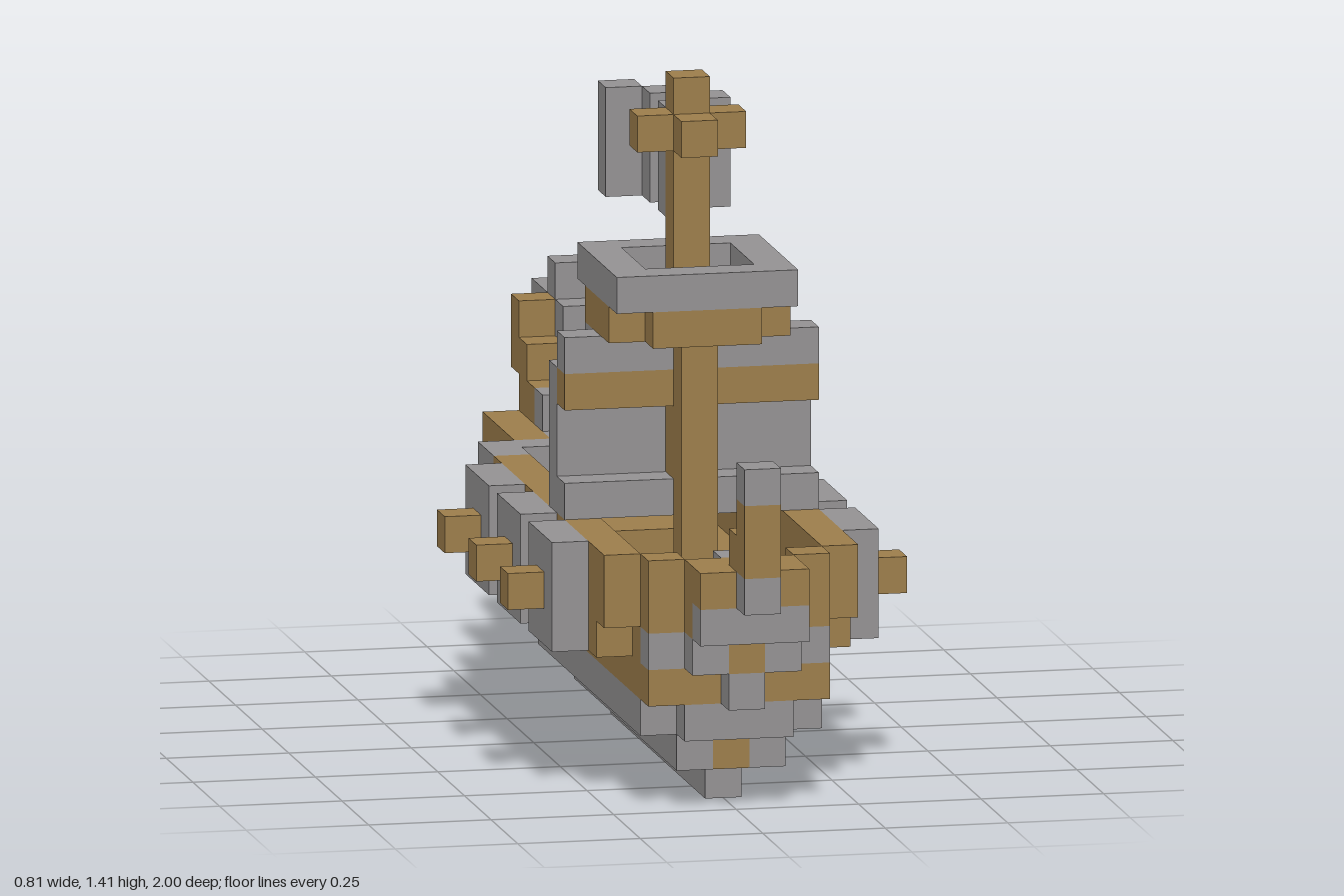
import * as THREE from 'three';

const U = 2 / 27; // edge of one block

export function createModel() {
  const model = new THREE.Group();
  model.name = 'blockShip';
  const wood = new THREE.MeshStandardMaterial({ name: 'brown wood', color: 0x9c7d4b });
  const grey = new THREE.MeshStandardMaterial({ name: 'grey trim', color: 0x939192 });

  // Box covering inclusive block ranges; x and z are counted from the middle
  function block(group, mat, x0, x1, y0, y1, z0, z1) {
    const g = new THREE.BoxGeometry((x1 - x0 + 1) * U, (y1 - y0 + 1) * U, (z1 - z0 + 1) * U);
    g.translate((x0 + x1) / 2 * U, (y0 + y1 + 1) / 2 * U, (z0 + z1) / 2 * U);
    const m = new THREE.Mesh(g, mat);
    m.name = group.name + 'Block';
    group.add(m);
  }
  // Same, mirrored to both sides unless it starts on the centre line
  function pair(group, mat, x0, x1, ...r) {
    if (x0 === 0) return block(group, mat, -x1, x1, ...r);
    block(group, mat, x0, x1, ...r);
    block(group, mat, -x1, -x0, ...r);
  }
  function part(name, rows) {
    const g = new THREE.Group();
    g.name = name;
    for (const r of rows) pair(g, ...r);
    model.add(g);
    return g;
  }

  // Stepped bottom: material, x range, y range, z range
  part('hullBottom', [
    [grey, 0, 0, 0, 0, -3, 8],
    [grey, 1, 1, 1, 1, -3, 9],
    [grey, 0, 0, 1, 1, -4, 8],
    [wood, 0, 0, 1, 1, 9, 9],
    [grey, 2, 2, 2, 2, -3, 9],
    [grey, 1, 1, 2, 2, -5, 10],
    [grey, 0, 0, 2, 2, -6, 10],
  ]);
  part('deck', [
    [wood, 2, 2, 3, 3, -3, 10],
    [grey, 2, 2, 3, 3, -4, -4],
    [wood, 0, 1, 3, 3, -3, 10],
    [grey, 1, 1, 3, 3, -6, -4],
    [grey, 0, 0, 3, 3, -7, -4],
    [grey, 0, 0, 3, 3, 11, 11],
    [wood, 0, 1, 4, 4, -5, -4],
  ]);
  part('bench', [[wood, 2, 2, 4, 4, -5, 9]]);
  part('hullSide', [
    [wood, 3, 3, 4, 4, -4, 8],
    [wood, 3, 3, 5, 6, -4, 9],
    [grey, 3, 3, 5, 5, -5, -5],
    [grey, 3, 3, 6, 6, -6, -5],
  ]);

  // Bow
  part('bow', [
    [grey, 2, 2, 4, 4, 10, 10],
    [wood, 2, 2, 5, 6, 10, 10],
    [grey, 1, 1, 4, 4, 11, 11],
    [wood, 0, 0, 4, 4, 11, 11],
    [wood, 0, 1, 5, 5, 11, 11],
    [grey, 0, 1, 5, 5, 12, 12],
    [wood, 1, 1, 6, 6, 11, 12],
    [grey, 0, 0, 6, 6, 10, 10],
    [wood, 0, 0, 6, 6, 11, 12],
  ]);
  part('stem', [
    [grey, 0, 0, 6, 6, 13, 13],
    [wood, 0, 0, 7, 7, 12, 13],
    [wood, 0, 0, 8, 8, 13, 13],
    [grey, 0, 0, 9, 9, 13, 13],
  ]);

  // Stern: rails and steps around a rising centre
  part('stern', [
    [grey, 2, 2, 4, 4, -6, -6],
    [grey, 1, 1, 4, 4, -7, -6],
    [grey, 0, 0, 4, 4, -8, -6],
    [wood, 2, 2, 5, 5, -8, -6],
    [wood, 1, 1, 5, 5, -6, -6],
    [grey, 1, 1, 5, 5, -9, -7],
    [grey, 0, 0, 5, 5, -10, -6],
    [grey, 2, 2, 6, 6, -6, -6],
    [wood, 2, 2, 6, 6, -10, -7],
    [grey, 1, 1, 6, 6, -10, -7],
    [grey, 0, 0, 6, 6, -11, -7],
  ]);
  part('sternStep', [
    [grey, 1, 1, 7, 7, -8, -8],
    [wood, 1, 1, 7, 7, -10, -9],
    [wood, 1, 1, 8, 8, -11, -10],
    [wood, 1, 1, 9, 9, -11, -11],
  ]);
  part('sternPost', [
    [grey, 0, 0, 7, 7, -12, -7],
    [grey, 0, 0, 8, 8, -11, -8],
    [wood, 0, 0, 8, 8, -13, -12],
    [grey, 0, 0, 9, 9, -13, -10],
    [grey, 0, 0, 10, 10, -11, -11],
  ]);

  // Three shields with studs along each side
  for (const z of [6, 2, -2]) {
    part('shield', [[grey, 4, 4, 4, 6, z - 1, z + 1]]);
    part('shieldStud', [[wood, 5, 5, 5, 5, z, z]]);
  }

  // Mast, sail and yard
  part('lowerMast', [
    [wood, 0, 0, 4, 11, 5, 5],
    [wood, 0, 0, 8, 9, 4, 4],
  ]);
  part('sail', [
    [grey, 0, 3, 7, 10, 3, 3],
    [grey, 0, 2, 11, 11, 3, 3],
    [grey, 0, 3, 7, 7, 4, 4],
    [grey, 0, 3, 11, 11, 4, 4],
  ]);
  part('yard', [[wood, 0, 3, 10, 10, 4, 4]]);

  // Lookout platform
  part('lookoutFloor', [
    [wood, 0, 1, 12, 12, 2, 6],
    [wood, 2, 2, 12, 12, 3, 5],
  ]);
  part('lookoutRail', [
    [grey, 2, 2, 13, 13, 2, 6],
    [grey, 0, 1, 13, 13, 2, 2],
    [grey, 0, 1, 13, 13, 6, 6],
  ]);

  // Top of the mast with its cross
  part('upperMast', [[wood, 0, 0, 13, 18, 4, 4]]);
  part('mastCross', [
    [wood, 1, 1, 17, 17, 4, 4],
    [wood, 0, 0, 17, 17, 5, 5],
  ]);

  // Waving flag
  const flag = part('flag', []);
  [0, 1, 0, -1, 0].forEach((x, i) =>
    block(flag, grey, x, x, 15, i === 4 ? 16 : 17, 3 - i, 3 - i));

  return model;
}
